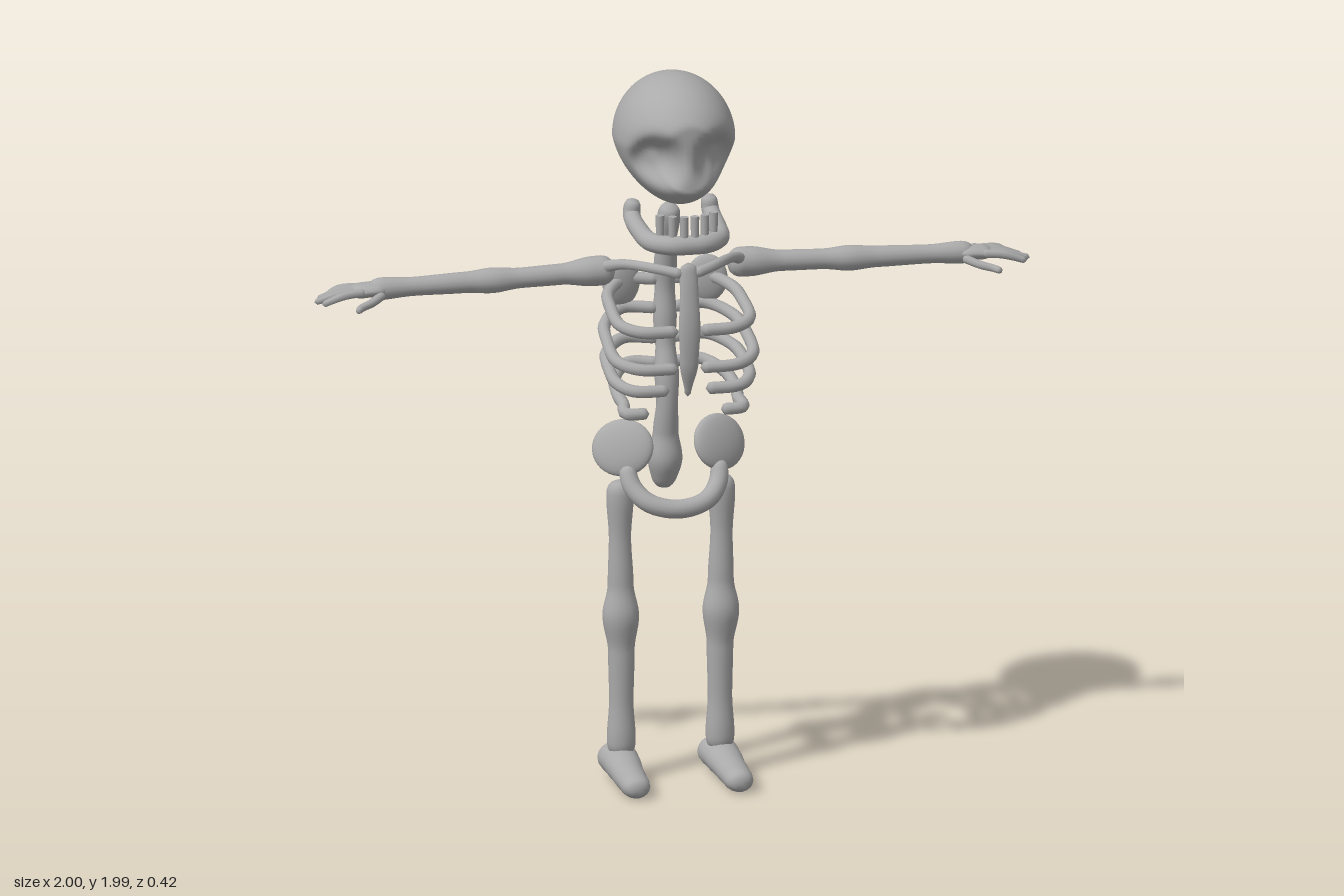
import * as THREE from 'three';
import { mergeVertices } from 'three/addons/utils/BufferGeometryUtils.js';

const boneGrey = new THREE.MeshStandardMaterial({ color: 0xaaaaaa });
boneGrey.name = 'bone grey';

function smooth(geo) {
  geo.deleteAttribute('uv');
  geo.deleteAttribute('normal');
  const merged = mergeVertices(geo, 1e-5);
  merged.computeVertexNormals();
  return merged;
}

function add(parent, name, geo) {
  const mesh = new THREE.Mesh(geo, boneGrey);
  mesh.name = name;
  parent.add(mesh);
  return mesh;
}

// Round-ended tube through [x, y, z, radius] points; flat squashes its section per axis
function bone(parent, name, pts, side = 1, segs = 40, sides = 14, flat = [1, 1, 1]) {
  const curve = new THREE.CatmullRomCurve3(pts.map(p => new THREE.Vector3(p[0] * side, p[1], p[2])));
  const geo = new THREE.TubeGeometry(curve, segs, 1, sides);
  const pos = geo.attributes.position;
  const length = curve.getLength();
  const v = new THREE.Vector3();
  for (let i = 0; i <= segs; i++) {
    const u = i / segs;
    const t = curve.getUtoTmapping(u) * (pts.length - 1);
    const k = Math.min(Math.floor(t), pts.length - 2);
    const f = THREE.MathUtils.smoothstep(t - k, 0, 1);
    let r = THREE.MathUtils.lerp(pts[k][3], pts[k + 1][3], f);
    const d = Math.min(u, 1 - u) * length;
    if (d < r) r *= Math.sqrt(Math.max(0, 1 - (1 - d / r) ** 2));
    const c = curve.getPointAt(u);
    for (let j = 0; j <= sides; j++) {
      const n = i * (sides + 1) + j;
      v.fromBufferAttribute(pos, n).sub(c);
      pos.setXYZ(n, c.x + v.x * r * flat[0], c.y + v.y * r * flat[1], c.z + v.z * r * flat[2]);
    }
  }
  return add(parent, name, smooth(geo));
}

function ellipsoid(parent, name, center, radii, rot = [0, 0, 0]) {
  const mesh = add(parent, name, new THREE.SphereGeometry(1, 28, 18));
  mesh.position.set(...center);
  mesh.scale.set(...radii);
  mesh.rotation.set(...rot);
  return mesh;
}

// Egg-shaped cranium with a flattened face and two scooped eye sockets
function skull(parent) {
  const geo = new THREE.SphereGeometry(1, 72, 54);
  const pos = geo.attributes.position;
  for (let i = 0; i < pos.count; i++) {
    const x = pos.getX(i), y = pos.getY(i), z = pos.getZ(i);
    const low = Math.max(0, -y);
    const px = 0.165 * x * (1 - 0.22 * low);
    const py = 1.812 + 0.178 * y;
    let pz = z * (z > 0 ? 0.222 + 0.06 * low : 0.205);
    pz = Math.min(pz, 0.2);
    if (z > 0) {
      const dx = (Math.abs(px) - 0.085) / 0.055, dy = (py - 1.785) / 0.062;
      pz -= 0.085 * Math.exp(-((dx * dx + dy * dy) ** 1.5)) * Math.min(1, z * 2);
    }
    pos.setXYZ(i, px, py, pz);
  }
  add(parent, 'skull', smooth(geo));
}

function jaw(parent) {
  const half = [[0.105, 1.635, -0.03, 0.022], [0.11, 1.59, -0.03, 0.024], [0.108, 1.565, 0.06, 0.025],
    [0.095, 1.555, 0.14, 0.026], [0.05, 1.552, 0.178, 0.027]];
  const other = half.map(([x, y, z, r]) => [-x, y, z, r]).reverse();
  bone(parent, 'jaw', [...half, [0, 1.552, 0.184, 0.027], ...other], 1, 80);
  for (let i = 0; i < 6; i++) {
    const x = (i - 2.5) * 0.03;
    const tooth = add(parent, 'tooth', new THREE.CylinderGeometry(0.012, 0.011, 0.06, 10));
    tooth.position.set(x, 1.603, 0.188 - 6 * x * x);
  }
}

function torso(parent) {
  bone(parent, 'spine', [
    [0, 1.61, -0.04, 0.028], [0, 1.56, -0.06, 0.032], [0, 1.5, -0.075, 0.026], [0, 1.43, -0.095, 0.032],
    [0, 1.36, -0.102, 0.028], [0, 1.28, -0.102, 0.033], [0, 1.2, -0.095, 0.028], [0, 1.12, -0.08, 0.034],
    [0, 1.04, -0.075, 0.03], [0, 0.96, -0.09, 0.035], [0, 0.88, -0.1, 0.048], [0, 0.79, -0.12, 0.03],
  ], 1, 90, 16);
  bone(parent, 'sternum', [[0, 1.5, 0.17, 0.024], [0, 1.42, 0.182, 0.026], [0, 1.32, 0.188, 0.03],
    [0, 1.22, 0.183, 0.026], [0, 1.12, 0.165, 0.008]], 1, 40, 14, [1, 1, 0.5]);

  // Ribs: back height, front height, width, front end x, front z
  const ribs = [
    [1.385, 1.31, 0.185, 0.03, 0.185], [1.305, 1.205, 0.195, 0.03, 0.185],
    [1.22, 1.14, 0.19, 0.05, 0.165], [1.15, 1.07, 0.165, 0.1, 0.135],
  ];
  for (const s of [1, -1]) {
    for (const [yb, yf, w, xe, zf] of ribs) {
      const y = z => THREE.MathUtils.mapLinear(z, -0.11, zf, yb, yf);
      const r = 0.017;
      bone(parent, 'rib', [
        [0.015, y(-0.1), -0.1, r], [w * 0.6, y(-0.11), -0.112, r], [w * 0.93, y(-0.04), -0.045, r],
        [w, y(0.04), 0.04, r], [w * 0.97, y(zf - 0.05), zf - 0.05, r],
        [(w + xe) * 0.62, y(zf - 0.008), zf - 0.008, r], [xe, y(zf), zf, r],
      ], s, 48, 10);
    }
    bone(parent, 'collarbone', [[0.015, 1.468, 0.178, 0.015], [0.08, 1.478, 0.14, 0.014],
      [0.15, 1.472, 0.05, 0.014], [0.2, 1.445, -0.03, 0.018]], s, 30, 10);
    ellipsoid(parent, 'shoulderBlade', [0.12 * s, 1.375, -0.11], [0.056, 0.068, 0.022], [0.05, -0.25 * s, 0]);
  }
}

function arm(parent, s) {
  bone(parent, 'arm', [
    [0.155, 1.437, -0.03, 0.042], [0.22, 1.436, -0.03, 0.041], [0.31, 1.433, -0.03, 0.029],
    [0.42, 1.43, -0.03, 0.028], [0.5, 1.428, -0.03, 0.035], [0.58, 1.427, -0.03, 0.029],
    [0.72, 1.425, -0.03, 0.026], [0.81, 1.424, -0.03, 0.031], [0.85, 1.422, -0.03, 0.026],
  ], s, 70);
  bone(parent, 'palm', [[0.79, 1.424, -0.03, 0.03], [0.84, 1.424, -0.031, 0.036],
    [0.9, 1.419, -0.032, 0.036]], s, 24, 14, [1, 0.55, 1.15]);
  // Four fingers fanning out, then the thumb
  [[-0.062, -0.078, 0.955], [-0.042, -0.052, 0.985], [-0.022, -0.018, 1.0], [-0.002, 0.012, 0.985]]
    .forEach(([z0, z1, x1]) => bone(parent, 'finger', [[0.86, 1.424, z0, 0.012],
      [0.92, 1.42, (z0 + z1) / 2, 0.012], [x1, 1.4, z1, 0.009]], s, 20, 8));
  bone(parent, 'thumb', [[0.81, 1.415, -0.005, 0.013], [0.85, 1.402, 0.03, 0.012],
    [0.885, 1.395, 0.052, 0.011], [0.9, 1.392, 0.075, 0.009]], s, 20, 8);
}

function pelvis(parent) {
  const half = [[0.13, 0.89, -0.01, 0.024], [0.12, 0.835, 0.02, 0.026], [0.08, 0.795, 0.055, 0.026]];
  const other = half.map(([x, y, z, r]) => [-x, y, z, r]).reverse();
  bone(parent, 'pelvicArch', [...half, [0, 0.778, 0.07, 0.026], ...other], 1, 60);
  for (const s of [1, -1]) {
    ellipsoid(parent, 'hipBlade', [0.135 * s, 0.933, -0.03], [0.086, 0.078, 0.025], [-0.35, 0.45 * s, 0]);
  }
}

function leg(parent, s) {
  bone(parent, 'leg', [
    [0.142, 0.845, -0.033, 0.036], [0.142, 0.79, -0.033, 0.038], [0.142, 0.68, -0.033, 0.031],
    [0.14, 0.55, -0.033, 0.036], [0.14, 0.46, -0.032, 0.051], [0.138, 0.36, -0.034, 0.037],
    [0.138, 0.22, -0.034, 0.034], [0.138, 0.12, -0.034, 0.04], [0.138, 0.06, -0.034, 0.038],
  ], s, 80, 16, [1, 1, 0.9]);
  // Foot: tall narrow heel running to a low wide toe
  bone(parent, 'foot', [
    [0.14, 0.05, -0.122, 0.04], [0.14, 0.05, -0.07, 0.045], [0.141, 0.046, -0.01, 0.042],
    [0.143, 0.037, 0.07, 0.037], [0.144, 0.031, 0.14, 0.034], [0.144, 0.027, 0.2, 0.029],
  ], s, 44, 18, [1.22, 1, 1]);
}

export function createModel() {
  const model = new THREE.Group();
  model.name = 'skeleton';
  const group = name => {
    const g = new THREE.Group();
    g.name = name;
    model.add(g);
    return g;
  };
  const head = group('head');
  skull(head);
  jaw(head);
  torso(group('torso'));
  pelvis(group('pelvis'));
  for (const [s, label] of [[1, 'left'], [-1, 'right']]) {
    arm(group(label + 'Arm'), s);
    leg(group(label + 'Leg'), s);
  }
  return model;
}
